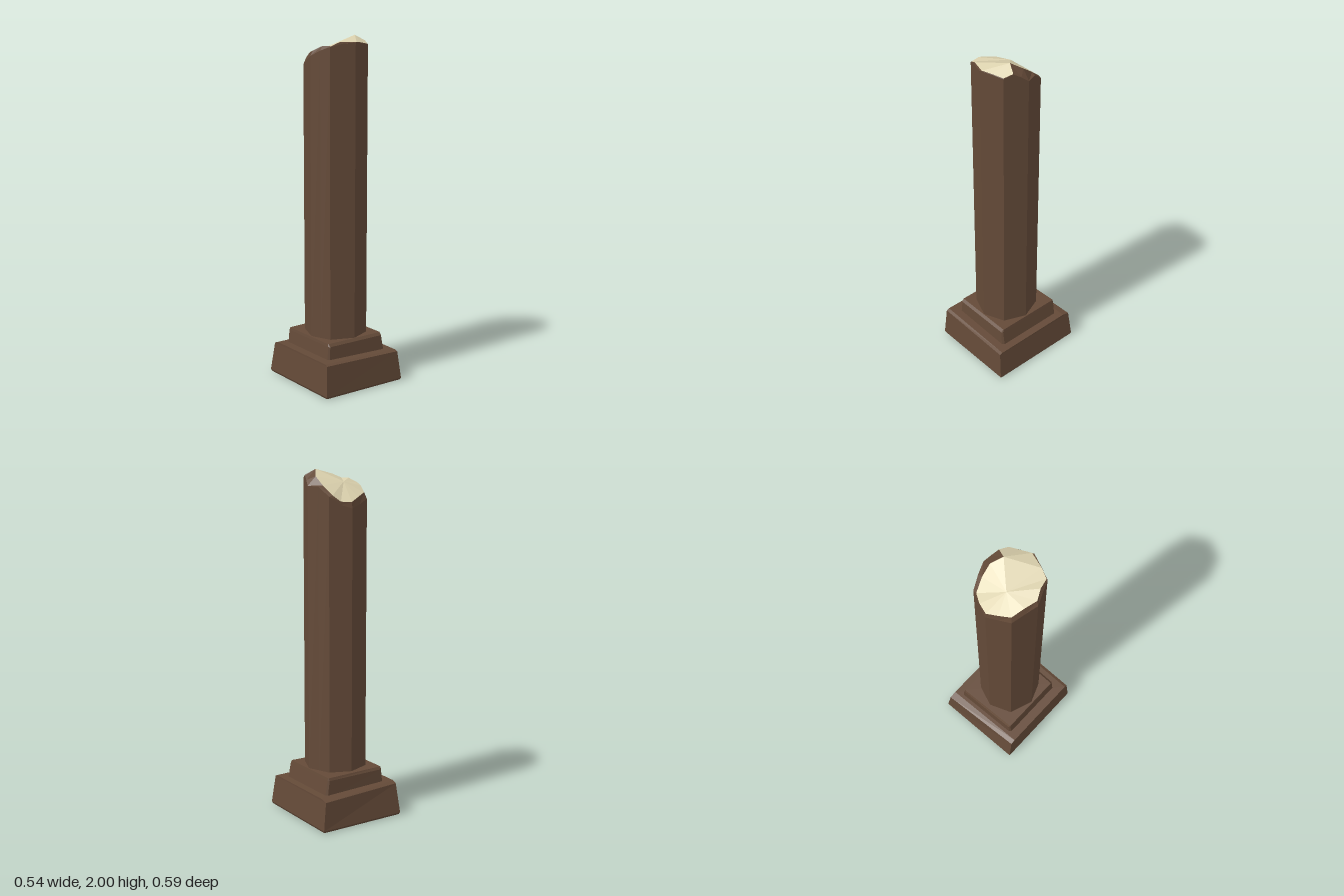
import * as THREE from 'three';

const stone = new THREE.MeshStandardMaterial({ color: 0x644a38 });
stone.name = 'brown stone';
const broken = new THREE.MeshStandardMaterial({ color: 0xdcd2ae });
broken.name = 'pale broken stone';

// Unindexed triangles keep every facet flat
function facets(name, triangles, material) {
  const geometry = new THREE.BufferGeometry();
  geometry.setAttribute('position', new THREE.Float32BufferAttribute(triangles.flat(2), 3));
  geometry.computeVertexNormals();
  const mesh = new THREE.Mesh(geometry, material);
  mesh.name = name;
  return mesh;
}

// Skin between successive rings, each running from +x towards +z
function loft(rings) {
  const tris = [];
  for (let r = 0; r < rings.length - 1; r++) {
    const lo = rings[r], hi = rings[r + 1], n = lo.length;
    for (let i = 0; i < n; i++) {
      const j = (i + 1) % n;
      tris.push([lo[i], hi[i], lo[j]], [hi[i], hi[j], lo[j]]);
    }
  }
  return tris;
}

// Fan over a ring of points, facing up or down
function fan(hub, points, up = true) {
  const tris = [];
  for (let i = 0; i < points.length - 1; i++) {
    tris.push(up ? [hub, points[i + 1], points[i]] : [hub, points[i], points[i + 1]]);
  }
  return tris;
}

function block(name, rings) {
  const top = rings[rings.length - 1], bottom = rings[0];
  return facets(name, [
    ...loft(rings),
    ...fan(top[0], top.slice(1)),
    ...fan(bottom[0], bottom.slice(1), false),
  ], stone);
}

// Rectangle with clipped corners and a skewed back edge
function clippedRing(y, left, right, front, backLeft, backRight, c) {
  return [
    [right, y, backRight + c], [right, y, front - c],
    [right - c, y, front], [left + c, y, front],
    [left, y, front - c], [left, y, backLeft + c],
    [left + c, y, backLeft], [right - c, y, backRight],
  ];
}

export function createModel() {
  const model = new THREE.Group();
  model.name = 'brokenColumn';

  // Crooked lower plinth: corners run back right, front right, front left, back left
  model.add(block('lowerPlinth', [
    [[0.262, 0, -0.29], [0.262, 0, 0.286], [-0.264, 0, 0.286], [-0.264, 0, -0.275]],
    [[0.268, 0.012, -0.297], [0.268, 0.012, 0.293], [-0.27, 0.012, 0.293], [-0.27, 0.012, -0.282]],
    [[0.247, 0.172, -0.284], [0.247, 0.175, 0.28], [-0.258, 0.188, 0.28], [-0.258, 0.184, -0.252]],
    [[0.247, 0.183, -0.24], [0.247, 0.181, 0.262], [-0.258, 0.196, 0.262], [-0.258, 0.196, -0.222]],
  ]));

  // Smaller upper plinth
  model.add(block('upperPlinth', [
    clippedRing(0.17, -0.205, 0.204, 0.216, -0.203, -0.217, 0.012),
    clippedRing(0.268, -0.194, 0.186, 0.21, -0.199, -0.214, 0.008),
    clippedRing(0.283, -0.191, 0.183, 0.196, -0.19, -0.208, 0.003),
  ]));

  // Eight-sided shaft
  const octagon = [
    [0.176, 0.01], [0.125, 0.14], [0, 0.192], [-0.135, 0.14],
    [-0.182, 0.02], [-0.132, -0.12], [0, -0.172], [0.122, -0.125],
  ];
  // Top of the walls: position around the octagon, height
  const rim = [
    [0, 1.91], [0.3, 1.94], [0.58, 1.963], [1, 1.948], [1.5, 1.958], [2, 1.964],
    [2.5, 1.958], [3, 1.94], [3.5, 1.92], [4, 1.89], [4.5, 1.865], [5, 1.835],
    [5.5, 1.81], [6, 1.79], [6.5, 1.81], [7, 1.855], [7.5, 1.908],
  ];
  const wall = rim.map(([s, y]) => {
    const k = Math.floor(s), t = s - k, a = octagon[k], b = octagon[(k + 1) % 8];
    return [a[0] + (b[0] - a[0]) * t, y, a[1] + (b[1] - a[1]) * t];
  });
  const foot = wall.map(([x, , z]) => [x, 0.26, z]);

  // Edge of the fracture, chipped in from the walls
  const edge = [
    [0.127, 1.962, 0.005], [0.09, 2, 0.065], [0.144, 1.968, 0.09],
    [0.124, 1.952, 0.138], [0.06, 1.962, 0.165], [0.01, 1.967, 0.187],
    [-0.08, 1.968, 0.158], [-0.13, 1.945, 0.138], [-0.143, 1.945, 0.08],
    [-0.168, 1.92, 0.028], [-0.145, 1.905, -0.04], [-0.12, 1.872, -0.11],
    [-0.06, 1.85, -0.14], [0, 1.825, -0.166], [0.06, 1.828, -0.148],
    [0.1, 1.862, -0.127], [0.122, 1.915, -0.06],
  ];
  model.add(facets('shaft', loft([foot, wall, edge]), stone));

  // Fracture: front facets meet the peak, the rest slopes to the back
  const peak = edge[1];
  const hollow = [-0.027, 1.932, -0.043];
  model.add(facets('brokenTop', [
    ...fan(peak, edge.slice(2, 7)),
    ...fan(hollow, [...edge.slice(6), edge[0], peak]),
    [hollow, edge[6], peak],
  ], broken));

  return model;
}
